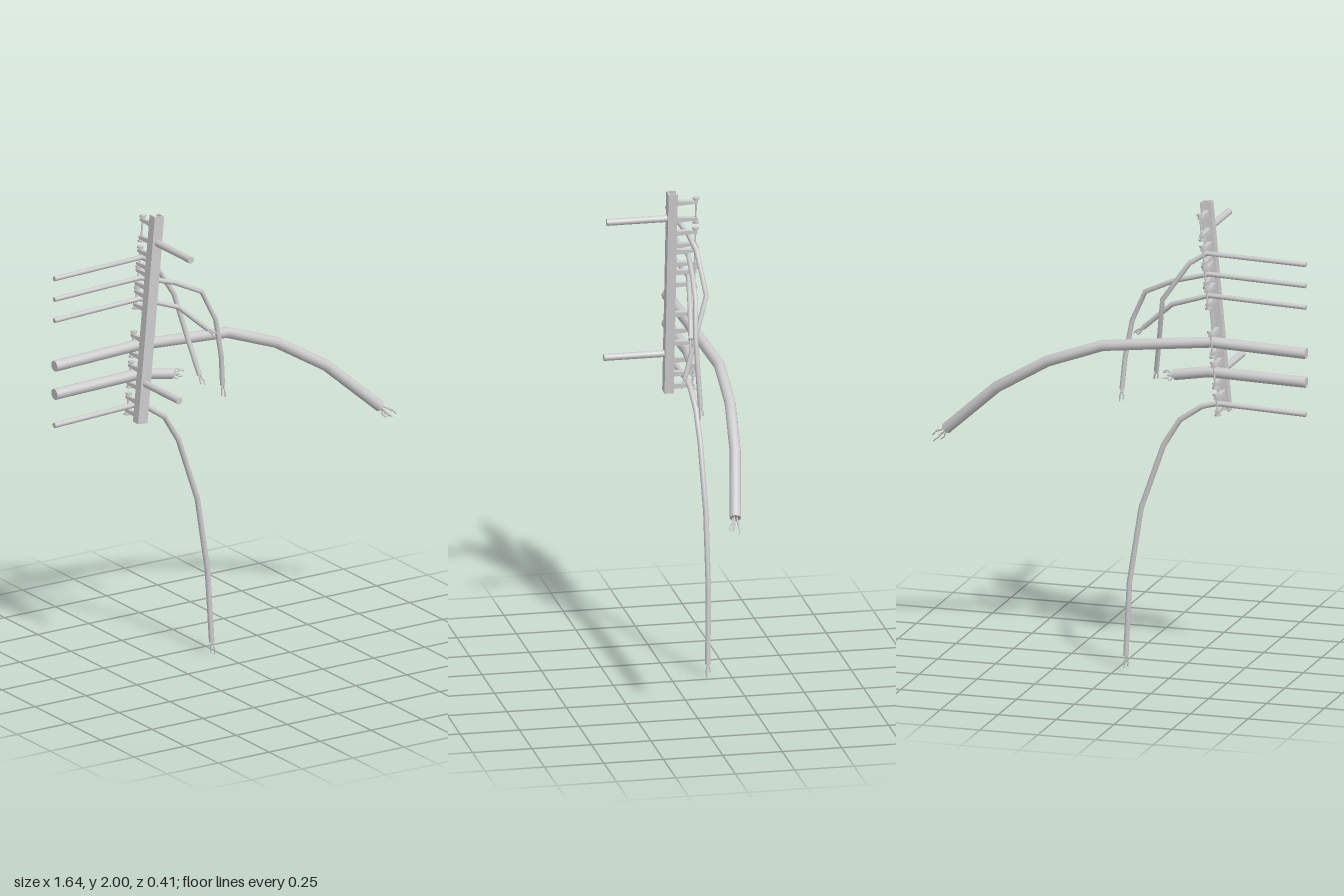
import * as THREE from 'three';

const mat = new THREE.MeshStandardMaterial({ color: 0xcccccc });

function part(parent, name, geo, x = 0, y = 0, z = 0) {
  const m = new THREE.Mesh(geo, mat);
  m.name = name;
  m.position.set(x, y, z);
  parent.add(m);
  return m;
}

// Polyline with one tube ring at each corner
class Polyline extends THREE.Curve {
  constructor(points) {
    super();
    this.points = points;
  }
  getPoint(t, target = new THREE.Vector3()) {
    const n = this.points.length - 1;
    const i = Math.min(Math.floor(t * n + 1e-6), n - 1);
    return target.lerpVectors(this.points[i], this.points[i + 1], t * n - i);
  }
  getPointAt(t, target) {
    return this.getPoint(t, target);
  }
  getTangentAt(t, target = new THREE.Vector3()) {
    const p = this.points, n = p.length - 1, i = Math.round(t * n);
    target.set(0, 0, 0);
    if (i > 0) target.add(p[i].clone().sub(p[i - 1]).normalize());
    if (i < n) target.add(p[i + 1].clone().sub(p[i]).normalize());
    return target.normalize();
  }
}

function tube(parent, name, points, radius, sides) {
  const geo = new THREE.TubeGeometry(new Polyline(points), points.length - 1, radius, sides, false);
  return part(parent, name, geo);
}

// Cable with closed ends and loose wires at the torn end
function cable(parent, name, coords, radius, wireLength, wireCount) {
  const g = new THREE.Group();
  g.name = name;
  parent.add(g);
  const pts = coords.map(c => new THREE.Vector3(...c));
  const n = pts.length - 1;
  tube(g, 'sheath', pts, radius, 12);
  const startDir = pts[0].clone().sub(pts[1]).normalize();
  const endDir = pts[n].clone().sub(pts[n - 1]).normalize();
  for (const [p, d] of [[pts[0], startDir], [pts[n], endDir]]) {
    const cap = part(g, 'cableEnd', new THREE.CircleGeometry(radius, 12), p.x, p.y, p.z);
    cap.quaternion.setFromUnitVectors(new THREE.Vector3(0, 0, 1), d);
  }
  const side = new THREE.Vector3(0, 0, 1).cross(endDir).normalize();
  const up = endDir.clone().cross(side);
  for (let i = 0; i < wireCount; i++) {
    const a = (i / wireCount) * Math.PI * 2 + 0.6;
    const out = side.clone().multiplyScalar(Math.cos(a)).addScaledVector(up, Math.sin(a));
    const len = wireLength * (1 - 0.15 * (i % 3));
    const at = (along, spread) => pts[n].clone()
      .addScaledVector(endDir, along * len).addScaledVector(out, spread * radius);
    tube(g, 'wire', [at(-0.1, 0.4), at(0.35, 0.5), at(0.65, 0.95), at(1, 0.8)], 0.003, 5);
  }
}

// Tapered arm running back from the post
function armGeometry() {
  const s = new THREE.Shape();
  s.moveTo(0, -0.012);
  s.lineTo(0.105, -0.005);
  s.lineTo(0.105, 0.005);
  s.lineTo(0, 0.012);
  s.closePath();
  const geo = new THREE.ExtrudeGeometry(s, { depth: 0.02, bevelEnabled: false });
  return geo.translate(0, 0, -0.01).rotateY(Math.PI / 2);
}

// Pair of arms joined by a bolt with round heads
function clamp(parent, y, gap) {
  const g = new THREE.Group();
  g.name = 'clamp';
  g.position.y = y;
  parent.add(g);
  const boltZ = -0.173, half = gap / 2;
  for (const s of [-1, 1]) {
    part(g, 'arm', armGeometry(), 0, s * half, -0.075);
    part(g, 'boltHead', new THREE.CylinderGeometry(0.014, 0.014, 0.008, 10), 0, s * (half + 0.016), boltZ);
    part(g, 'nut', new THREE.CylinderGeometry(0.009, 0.009, 0.012, 6), 0, s * (half + 0.008), boltZ);
  }
  part(g, 'bolt', new THREE.CylinderGeometry(0.004, 0.004, gap + 0.03, 8), 0, 0, boltZ);
}

export function createModel() {
  const model = new THREE.Group();
  model.name = 'cableRack';

  // Leaning rack: everything inside follows the tilt of the post
  const rack = new THREE.Group();
  rack.name = 'rack';
  rack.position.set(-0.437, 1.112, 0);
  rack.rotation.z = -0.092;
  model.add(rack);

  // Lipped channel, closed at the front and open at the back
  const w = 0.0235, t = 0.006, lip = 0.012, front = 0.052, back = 0.091;
  const outline = [
    [-w, front], [w, front], [w, back], [lip, back], [lip, back - t], [w - t, back - t],
    [w - t, front + t], [t - w, front + t], [t - w, back - t], [-lip, back - t], [-lip, back], [-w, back],
  ];
  const section = new THREE.Shape(outline.map(p => new THREE.Vector2(...p)));
  const post = new THREE.ExtrudeGeometry(section, { depth: 0.89, bevelEnabled: false });
  part(rack, 'post', post.rotateX(-Math.PI / 2));

  // Clamps: height along the post and opening
  const clamps = [[0.806, 0.075], [0.682, 0.055], [0.598, 0.055], [0.506, 0.055],
    [0.308, 0.075], [0.178, 0.075], [0.052, 0.055]];
  for (const [y, gap] of clamps) clamp(rack, y, gap);

  // Wall pegs on the front
  for (const [x, y] of [[-0.365, 1.885], [-0.422, 1.282]]) {
    const peg = new THREE.CylinderGeometry(0.0145, 0.0145, 0.258, 12).rotateX(Math.PI / 2);
    part(model, 'wallPeg', peg, x, y, 0.073);
  }

  // Thin cables
  cable(model, 'upperCable', [[-0.81, 1.786, -0.148], [-0.38, 1.799, -0.148], [-0.31, 1.755, -0.165],
    [-0.2, 1.595, -0.183], [-0.165, 1.39, -0.12], [-0.141, 1.26, -0.08]], 0.0105, 0.045, 3);
  cable(model, 'secondCable', [[-0.81, 1.696, -0.148], [-0.39, 1.711, -0.148], [-0.23, 1.665, -0.132],
    [-0.105, 1.605, -0.118], [-0.045, 1.475, -0.105], [-0.015, 1.31, -0.11], [-0.004, 1.18, -0.117]], 0.0105, 0.055, 3);
  cable(model, 'thirdCable', [[-0.81, 1.604, -0.148], [-0.39, 1.62, -0.148], [-0.22, 1.56, -0.118],
    [-0.09, 1.445, -0.095]], 0.0105, 0.055, 3);
  cable(model, 'hangingCable', [[-0.81, 1.147, -0.148], [-0.425, 1.162, -0.148], [-0.36, 1.145, -0.15],
    [-0.265, 1.08, -0.153], [-0.195, 0.965, -0.156], [-0.1, 0.69, -0.16], [-0.05, 0.37, -0.16],
    [-0.033, 0.055, -0.154]], 0.0115, 0.055, 3);

  // Thick cables
  cable(model, 'longThickCable', [[-0.81, 1.406, -0.146], [-0.4, 1.421, -0.146], [0.06, 1.378, -0.183],
    [0.3, 1.29, -0.178], [0.525, 1.155, -0.152], [0.76, 0.945, -0.103]], 0.0235, 0.075, 5);
  cable(model, 'shortThickCable', [[-0.81, 1.283, -0.146], [-0.39, 1.294, -0.146],
    [-0.24, 1.268, -0.14]], 0.0235, 0.052, 5);

  return model;
}
